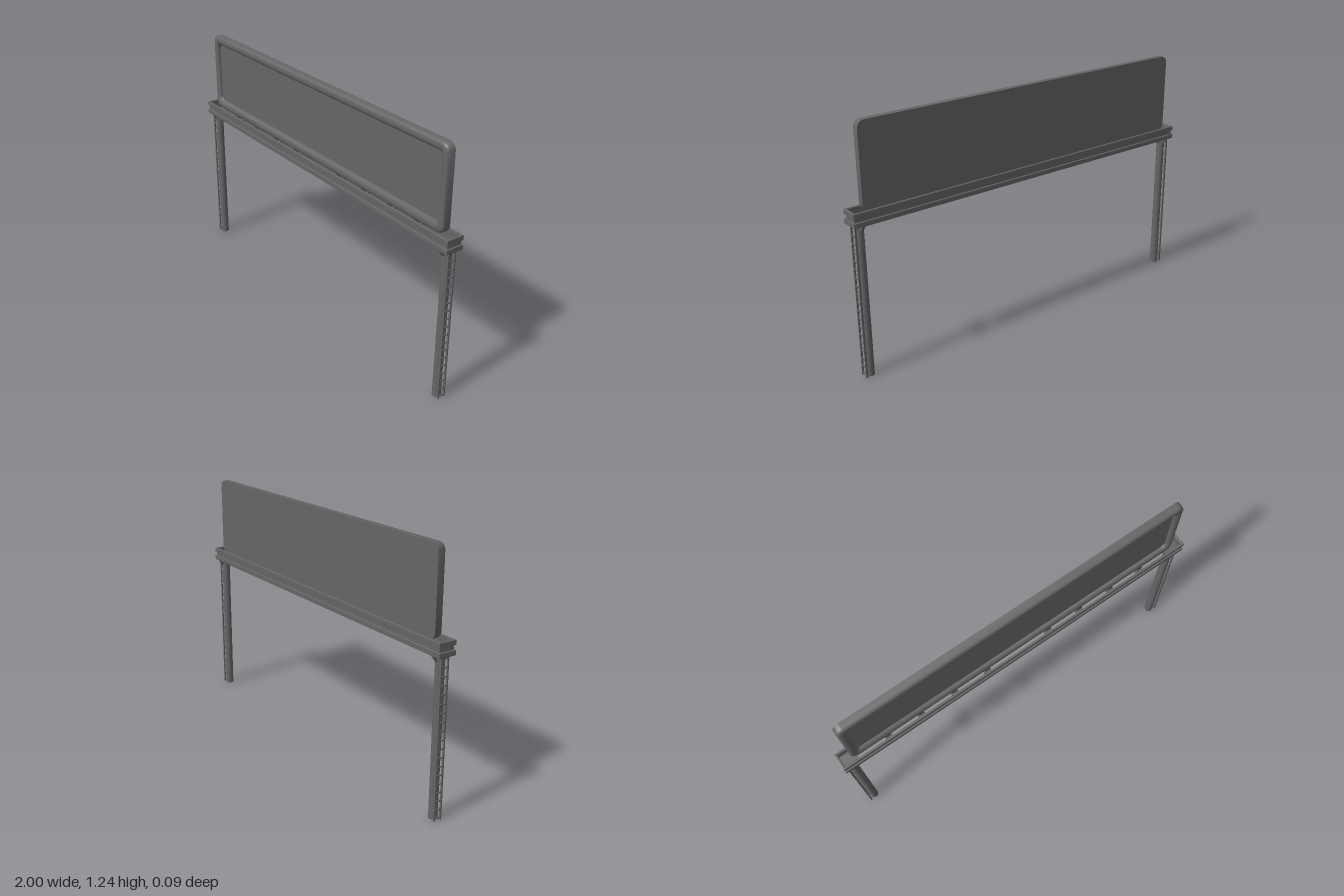
import * as THREE from 'three';
import { toCreasedNormals } from 'three/addons/utils/BufferGeometryUtils.js';

const steel = new THREE.MeshStandardMaterial({ color: 0x666666 });
steel.name = 'darkGreySteel';

function add(parent, name, geometry, x = 0, y = 0, z = 0) {
  const mesh = new THREE.Mesh(geometry, steel);
  mesh.name = name;
  mesh.position.set(x, y, z);
  parent.add(mesh);
  return mesh;
}
const box = (w, h, d) => new THREE.BoxGeometry(w, h, d);

// Counter-clockwise rounded rectangle
function roundedLoop(hw, hh, r, z, steps = 6) {
  const points = [];
  for (let c = 0; c < 4; c++) {
    const sx = c === 0 || c === 3 ? 1 : -1, sy = c < 2 ? 1 : -1;
    for (let i = 0; i <= steps; i++) {
      const a = (c + i / steps) * Math.PI / 2;
      points.push([sx * (hw - r) + r * Math.cos(a), sy * (hh - r) + r * Math.sin(a), z]);
    }
  }
  return points;
}

// Skin through loops running from back to front, closed at both ends
function loft(loops) {
  const n = loops[0].length, positions = loops.flat(2), index = [];
  for (let k = 0; k < loops.length - 1; k++) {
    for (let i = 0; i < n; i++) {
      const j = (i + 1) % n, a = k * n + i, b = k * n + j;
      index.push(a, b, b + n, a, b + n, a + n);
    }
  }
  const last = (loops.length - 1) * n;
  for (let i = 1; i < n - 1; i++) {
    index.push(0, i + 1, i);
    index.push(last, last + i, last + i + 1);
  }
  const g = new THREE.BufferGeometry();
  g.setAttribute('position', new THREE.Float32BufferAttribute(positions, 3));
  g.setIndex(index);
  return toCreasedNormals(g, 0.75);
}

// Horizontal rectangular ring with bevelled edges
function flangeRing(hx, hz, wall, height, bevel) {
  const rect = (Target, a, b) => new Target([
    new THREE.Vector2(-a, -b), new THREE.Vector2(a, -b), new THREE.Vector2(a, b), new THREE.Vector2(-a, b)]);
  const shape = rect(THREE.Shape, hx - bevel, hz - bevel);
  shape.holes.push(rect(THREE.Path, hx - wall + bevel, hz - wall + bevel));
  const g = new THREE.ExtrudeGeometry(shape, {
    depth: height - 2 * bevel, bevelEnabled: bevel > 0, bevelSize: bevel, bevelThickness: bevel, bevelSegments: 2,
  });
  return g.translate(0, 0, bevel).rotateX(-Math.PI / 2);
}

// Flat plate cut from an outline in x and y
function plate(points, thickness) {
  const shape = new THREE.Shape(points.map(([x, y]) => new THREE.Vector2(x, y)));
  return new THREE.ExtrudeGeometry(shape, { depth: thickness, bevelEnabled: false }).translate(0, 0, -thickness / 2);
}

// Post, head gussets and ladder for one side
function createSupport(side) {
  const g = new THREE.Group();
  g.name = side > 0 ? 'leftSupport' : 'rightSupport';
  const px = 0.955 * side;
  add(g, 'post', new THREE.CylinderGeometry(0.021, 0.021, 0.775, 20), px, 0.3875, 0);

  // Flared gussets under the walkway
  const flare = [[-0.022, 0.735], [0.022, 0.735], [0.042, 0.762], [0.042, 0.77], [-0.042, 0.77], [-0.042, 0.762]];
  add(g, 'crossGusset', plate(flare, 0.012).rotateY(Math.PI / 2), px, 0, 0);
  const inner = [[0, 0.735], [0.022, 0.735], [0.042, 0.762], [0.042, 0.77], [0, 0.77]];
  const gusset = add(g, 'innerGusset', plate(inner, 0.012), px, 0, 0);
  if (side > 0) gusset.rotation.y = Math.PI;

  // Solid floor at the end of the walkway
  add(g, 'endPlate', box(0.08, 0.018, 0.076), 0.955 * side, 0.777, 0);

  // Ladder on the outside of the post
  const ladder = new THREE.Group();
  ladder.name = 'ladder';
  ladder.position.x = 0.983 * side;
  g.add(ladder);
  for (const z of [-0.018, 0.018]) add(ladder, 'ladderRail', box(0.009, 0.77, 0.006), 0, 0.385, z);
  for (let i = 0; i < 19; i++) add(ladder, 'rung', box(0.006, 0.006, 0.036), 0, 0.01 + i * 0.0415, 0);
  return g;
}

export function createModel() {
  const model = new THREE.Group();
  model.name = 'billboard';

  // Display panel: flat back, rounded frame, recessed face
  add(model, 'displayPanel', loft([
    roundedLoop(0.94, 0.206, 0.036, -0.021),
    roundedLoop(0.94, 0.206, 0.036, 0.009),
    roundedLoop(0.937, 0.203, 0.034, 0.016),
    roundedLoop(0.929, 0.195, 0.03, 0.021),
    roundedLoop(0.916, 0.178, 0.026, 0.021),
    roundedLoop(0.907, 0.167, 0.024, 0.017),
    roundedLoop(0.9, 0.16, 0.022, 0.008),
    roundedLoop(0.899, 0.159, 0.022, 0.002),
  ]), 0, 1.029, 0);

  // Walkway frame: two flanges with a set-back web between them
  const walkway = new THREE.Group();
  walkway.name = 'walkway';
  model.add(walkway);
  add(walkway, 'lowerFlange', flangeRing(1, 0.045, 0.011, 0.025, 0.003), 0, 0.765, 0);
  add(walkway, 'web', flangeRing(0.993, 0.038, 0.004, 0.024, 0), 0, 0.788, 0);
  add(walkway, 'upperFlange', flangeRing(1, 0.045, 0.011, 0.025, 0.003), 0, 0.81, 0);

  // Cross beams carrying the panel
  for (const side of [-1, 1]) {
    for (const x of [0.18, 0.37, 0.56, 0.745]) {
      add(walkway, 'crossBeam', box(0.036, 0.022, 0.074), side * x, 0.779, 0);
      add(walkway, 'panelFoot', box(0.03, 0.04, 0.03), side * x, 0.808, 0);
    }
    model.add(createSupport(side));
  }
  return model;
}
